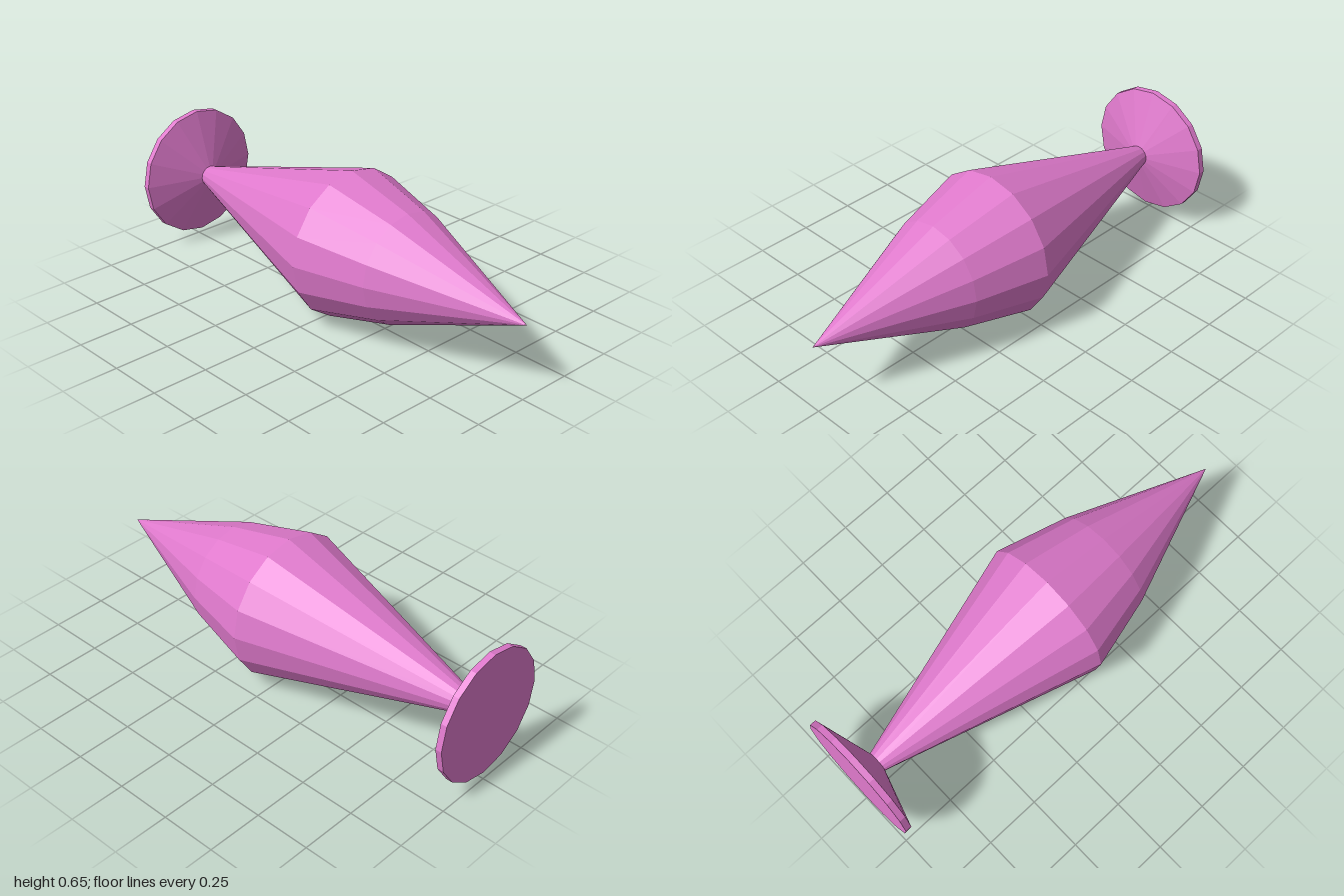
import * as THREE from 'three';

const SIDES = 16;
const AXIS_HEIGHT = 0.325;

export function createModel() {
  const group = new THREE.Group();
  const material = new THREE.MeshStandardMaterial({ color: 0xe07acd, flatShading: true });

  // Turned part: profile of [position along x, radius], spun around the long axis
  const addTurned = (name, profile) => {
    const points = profile.map(([x, r]) => new THREE.Vector2(r, x));
    const mesh = new THREE.Mesh(new THREE.LatheGeometry(points, SIDES), material);
    mesh.name = name;
    mesh.rotation.z = -Math.PI / 2;
    mesh.position.y = AXIS_HEIGHT;
    group.add(mesh);
  };

  // Disc base with a flat rim, flaring in to the neck
  addTurned('flaredBase', [[-1, 0], [-1, 0.291], [-0.972, 0.291], [-0.895, 0.046]]);

  // Tapered body: neck, widest ring, shoulder and pointed tip
  addTurned('taperedBody', [[-0.895, 0.046], [0.047, 0.325], [0.367, 0.242], [1, 0]]);

  return group;
}
